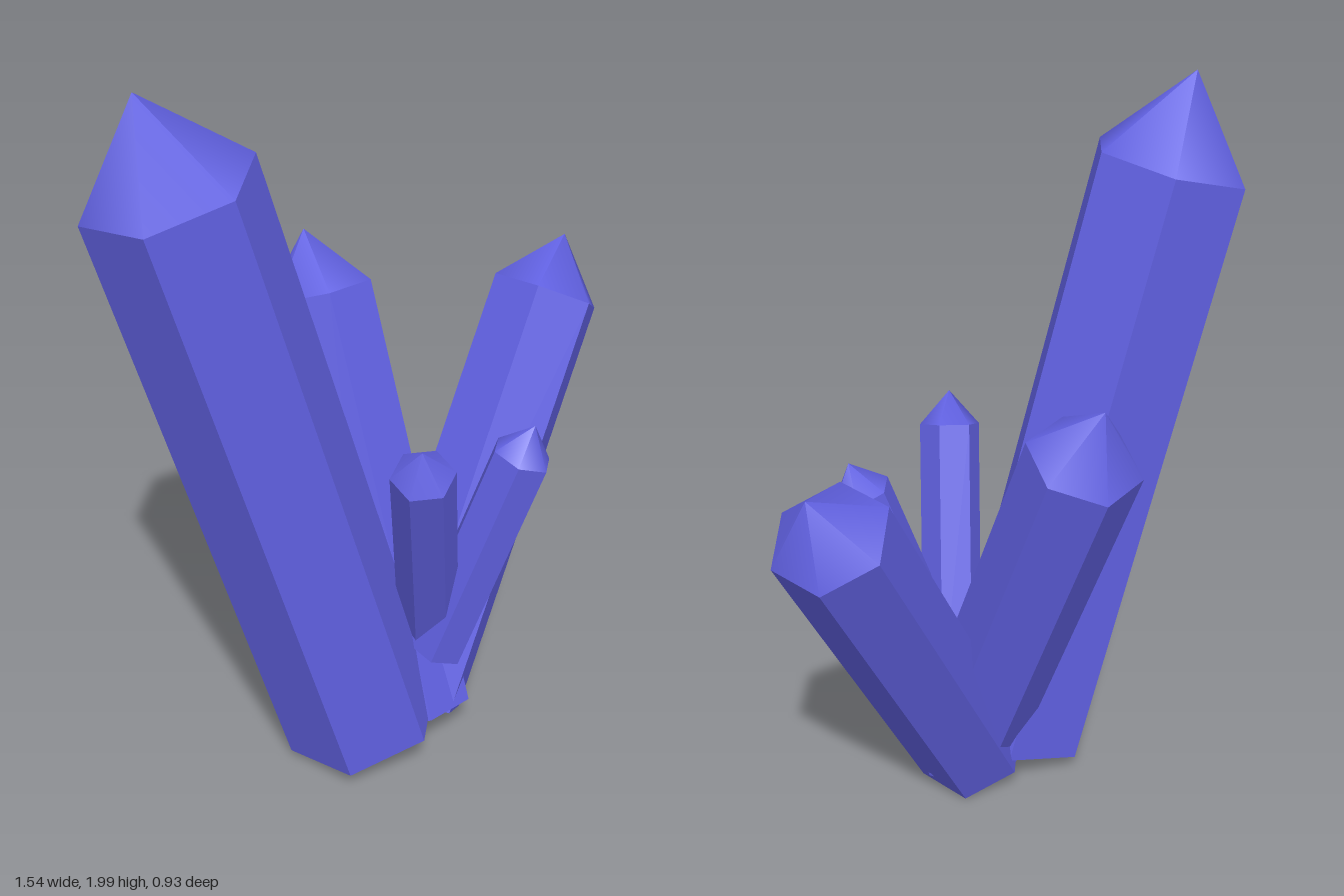
import * as THREE from 'three';

// Each crystal: centre of its top ring, lean per unit of height, height of the
// shaft along y, radius, tip height, and a direction that one edge faces.
const CRYSTALS = [
  { name: 'largeCrystal', top: [-0.555, 1.757, 0.147], lean: [-0.287, 0], drop: 1.675, r: 0.225, tip: 0.253, edge: [1, 0, 0] },
  { name: 'backCrystal', top: [-0.036, 1.205, -0.324], lean: [-0.115, -0.4], drop: 1.14, r: 0.156, tip: 0.173, edge: [0.015, -0.056, -0.145] },
  { name: 'rightCrystal', top: [0.626, 1.125, -0.255], lean: [0.52, -0.335], drop: 1.04, r: 0.161, tip: 0.171, edge: [0.065, 0.015, 0.145] },
  { name: 'smallFrontCrystal', top: [0, 1.0, 0.386], lean: [-0.19, 0.385], drop: 0.7, r: 0.085, tip: 0.095, edge: [0.025, -0.026, 0.08] },
  { name: 'smallSideCrystal', top: [0.33, 0.925, 0.262], lean: [0.33, 0.12], drop: 0.62, r: 0.084, tip: 0.094, edge: [0.08, -0.026, 0] },
];

export function createModel() {
  const model = new THREE.Group();
  model.name = 'crystalCluster';
  const shaftMaterial = new THREE.MeshStandardMaterial({ color: 0x6060e0, flatShading: true });
  const tipMaterial = new THREE.MeshStandardMaterial({ color: 0x6060e0 });

  for (const c of CRYSTALS) {
    const slope = new THREE.Vector3(c.lean[0], 1, c.lean[1]);
    const length = c.drop * slope.length();
    const axis = slope.clone().normalize();

    // Hexagonal shaft with a closed base, hanging below the top ring
    const shaft = new THREE.Mesh(new THREE.CylinderGeometry(c.r, c.r, length, 6), shaftMaterial);
    shaft.name = 'shaft';
    shaft.position.y = -length / 2;

    // Pointed tip, smoothly shaded
    const tip = new THREE.Mesh(new THREE.ConeGeometry(c.r, c.tip, 6, 1, true), tipMaterial);
    tip.name = 'tip';
    tip.position.y = c.tip / 2;

    // Lean the crystal along its axis with one edge facing the given direction
    const z = new THREE.Vector3(...c.edge).projectOnPlane(axis).normalize();
    const x = new THREE.Vector3().crossVectors(axis, z);
    const crystal = new THREE.Group();
    crystal.name = c.name;
    crystal.add(shaft, tip);
    crystal.quaternion.setFromRotationMatrix(new THREE.Matrix4().makeBasis(x, axis, z));
    crystal.position.set(...c.top);
    model.add(crystal);
  }
  return model;
}
